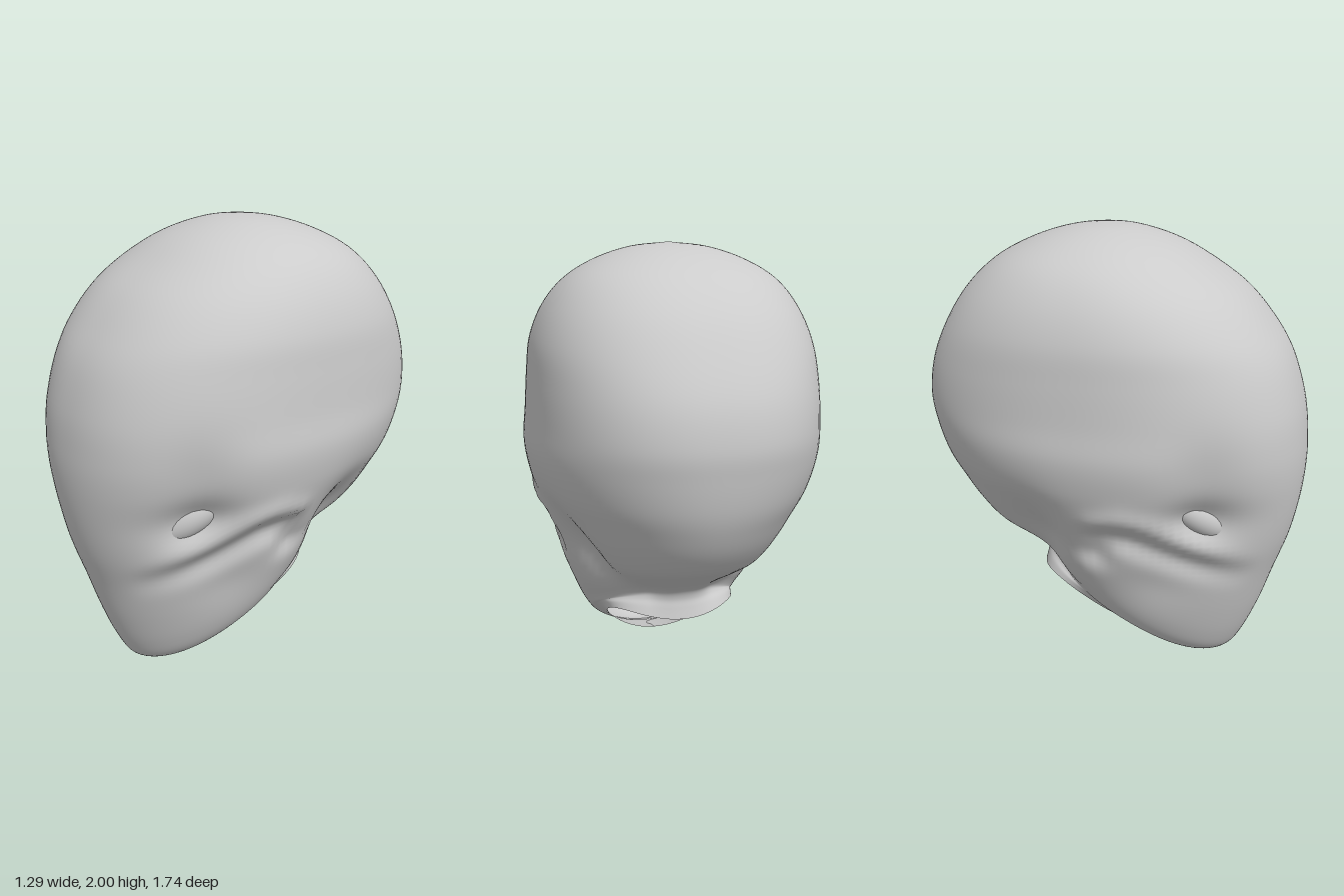
import * as THREE from 'three';
import { mergeVertices } from 'three/addons/utils/BufferGeometryUtils.js';

const V = (x, y, z) => new THREE.Vector3(x, y, z);
const { clamp, lerp, smoothstep } = THREE.MathUtils;

// Tilted rings from neck rim to crown:
// front z, y / back z, y / half width / side lift / roundness (2 = ellipse, more = boxier)
const RINGS = [
  [0.16, 0.09, -0.36, 0.36, 0.3, 0.11, 2],
  [0.24, 0.07, -0.35, 0.41, 0.31, 0.1, 1.95],
  [0.36, 0.04, -0.345, 0.45, 0.325, 0.08, 1.85],
  [0.48, 0.0, -0.36, 0.49, 0.345, 0.06, 1.75],
  [0.575, 0.03, -0.4, 0.525, 0.37, 0.05, 1.75],
  [0.64, 0.13, -0.46, 0.565, 0.4, 0.03, 1.8],
  [0.705, 0.29, -0.55, 0.62, 0.44, 0.01, 1.85],
  [0.765, 0.48, -0.64, 0.68, 0.487, 0, 1.9],
  [0.82, 0.65, -0.72, 0.77, 0.53, 0, 1.95],
  [0.855, 0.82, -0.78, 0.87, 0.575, 0, 2],
  [0.87, 0.98, -0.825, 0.98, 0.62, 0, 2.1],
  [0.865, 1.12, -0.855, 1.12, 0.643, 0, 2.2],
  [0.84, 1.28, -0.868, 1.25, 0.632, 0, 2.3],
  [0.78, 1.46, -0.84, 1.41, 0.622, 0, 2.3],
  [0.695, 1.595, -0.76, 1.58, 0.605, 0, 2.3],
  [0.575, 1.73, -0.66, 1.73, 0.55, 0, 2.25],
  [0.42, 1.84, -0.53, 1.85, 0.46, 0, 2.2],
  [0.27, 1.925, -0.38, 1.93, 0.33, 0, 2.1],
  [0.1, 1.982, -0.22, 1.98, 0.17, 0, 2],
  [-0.06, 2.0, -0.06, 2.0, 0, 0, 2],
];

// Sculpting strokes drawn on the side of the head as [z, y] paths: width and depth (+ is outward)
const STROKES = [
  { path: [[0.74, 0.61], [0.5, 0.73], [0.32, 0.84], [0.2, 0.87], [0.1, 0.84]], width: 0.055, depth: 0.022 }, // cheekbone
  { path: [[0.66, 0.56], [0.42, 0.66], [0.24, 0.75], [0.13, 0.76], [0.07, 0.66]], width: 0.065, depth: -0.042 }, // groove below it
];
// Soft dents: centre z, y, radius z, y, depth
const DENTS = [
  [0.53, 0.85, 0.14, 0.11, -0.07], // eye socket
  [0.56, 1.06, 0.14, 0.17, -0.03], // brow hollow
  [-0.24, 0.66, 0.15, 0.19, -0.095], // behind the jaw
  [0.34, 0.52, 0.17, 0.14, -0.02], // cheek
];

function pathDistance(z, y, path) {
  let best = Infinity;
  for (let i = 0; i + 1 < path.length; i++) {
    const [az, ay] = path[i], [bz, by] = path[i + 1];
    const dz = bz - az, dy = by - ay;
    const t = clamp(((z - az) * dz + (y - ay) * dy) / (dz * dz + dy * dy), 0, 1);
    best = Math.min(best, Math.hypot(z - az - dz * t, y - ay - dy * t));
  }
  return best;
}

function relief(z, y) {
  let d = 0;
  // Strokes fade out towards the middle of the face
  const fade = 1 - smoothstep(z, 0.42, 0.78);
  for (const s of STROKES) d += fade * s.depth * Math.exp(-((pathDistance(z, y, s.path) / s.width) ** 2));
  for (const [cz, cy, rz, ry, depth] of DENTS) {
    d += depth * Math.exp(-(((z - cz) / rz) ** 2) - ((y - cy) / ry) ** 2);
  }
  return d;
}

function headGeometry(around = 112, up = 120) {
  const curve = pick => new THREE.CatmullRomCurve3(RINGS.map(pick), false, 'catmullrom', 0.5);
  const front = curve(r => V(r[4], r[1], r[0]));
  const back = curve(r => V(r[5], r[3], r[2]));
  const round = curve(r => V(r[6], 0, 0));
  const pos = [], index = [];
  for (let i = 0; i <= up; i++) {
    const f = front.getPoint(i / up), b = back.getPoint(i / up), p = round.getPoint(i / up).x;
    const w = Math.max(f.x, 0), half = (f.z - b.z) / 2;
    for (let j = 0; j < around; j++) {
      const a = (j / around) * Math.PI * 2;
      const r = (Math.abs(Math.sin(a)) ** p + Math.abs(Math.cos(a)) ** p) ** (-1 / p);
      const s = r * Math.sin(a), c = r * Math.cos(a);
      const y = lerp(b.y, f.y, (1 + c) / 2) + b.x * s * s;
      const z = (f.z + b.z) / 2 + half * c;
      // Push along the ring's outward direction, fading at the midline
      const n = new THREE.Vector2(s * half, c * w).normalize();
      const d = relief(z, y) * smoothstep(Math.abs(s), 0.1, 0.5);
      pos.push(w * s + n.x * d, y, z + n.y * d);
      if (i < up) {
        const k = i * around + j, m = i * around + (j + 1) % around;
        index.push(k, m, m + around, k, m + around, k + around);
      }
    }
  }
  const geo = new THREE.BufferGeometry();
  geo.setAttribute('position', new THREE.Float32BufferAttribute(pos, 3));
  geo.setIndex(index);
  const merged = mergeVertices(geo, 1e-5);
  merged.computeVertexNormals();
  return merged;
}

export function createModel() {
  const group = new THREE.Group();
  group.name = 'head';
  const material = new THREE.MeshStandardMaterial({ color: 0xcccccc, side: THREE.DoubleSide });

  // Open shell of skull, face and neck
  const shell = new THREE.Mesh(headGeometry(), material);
  shell.name = 'skullAndFace';
  group.add(shell);

  // Slanted almond eyes, seated in the sockets and visible from inside the neck
  const long = V(0.14, 0.16, -0.19).normalize();
  const out = V(0.9, 0, 0.43);
  out.addScaledVector(long, -out.dot(long)).normalize();
  const tall = out.clone().cross(long);
  const eyeGeo = new THREE.SphereGeometry(1, 40, 28);
  eyeGeo.scale(0.185, 0.085, 0.095);
  eyeGeo.applyMatrix4(new THREE.Matrix4().makeBasis(long, tall, out).setPosition(0.33, 0.84, 0.49));
  for (const side of [1, -1]) {
    const eye = new THREE.Mesh(eyeGeo, material);
    eye.name = side > 0 ? 'leftEye' : 'rightEye';
    eye.scale.x = side;
    group.add(eye);
  }
  return group;
}
